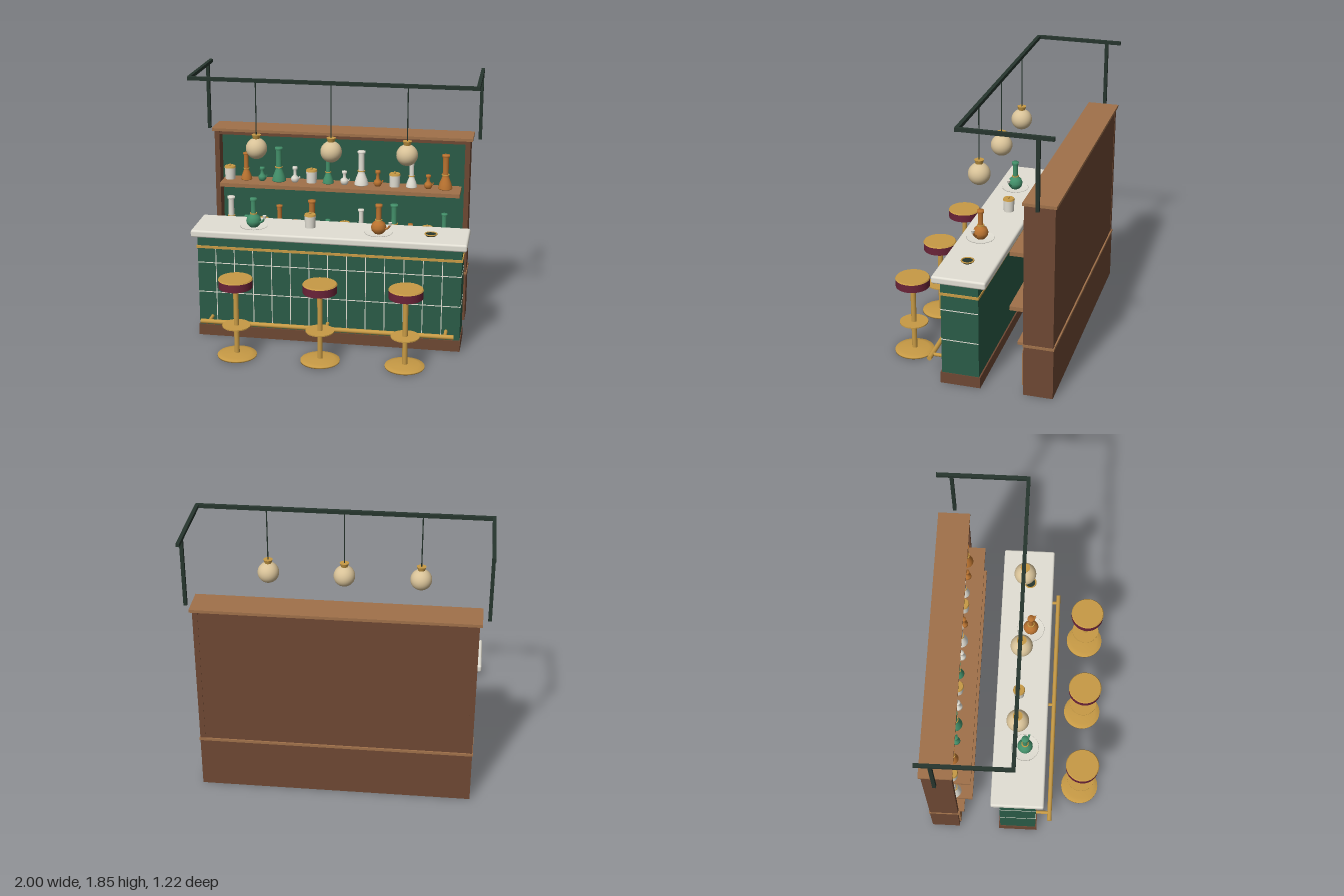
import * as THREE from 'three';
import { RoundedBoxGeometry } from 'three/addons/geometries/RoundedBoxGeometry.js';

const mat = (name, color, extra = {}) => {
  const m = new THREE.MeshStandardMaterial({ color, ...extra });
  m.name = name;
  return m;
};

export function createModel() {
  const root = new THREE.Group();
  root.name = 'barCounterSet';
  const M = {
    tile: mat('green tile', 0x2a5c47),
    frame: mat('dark iron', 0x26352d),
    wood: mat('dark wood', 0x6e4833),
    oak: mat('light wood', 0xa0714a),
    marble: mat('marble', 0xe2dfd4),
    brass: mat('brass', 0xc79a45),
    leather: mat('burgundy leather', 0x6a2338),
    green: mat('green glass', 0x43906a),
    amber: mat('amber glass', 0xba7330),
    globe: mat('lamp globe', 0xd8c298),
  };

  const add = (parent, name, geo, material, x = 0, y = 0, z = 0) => {
    const mesh = new THREE.Mesh(geo, material);
    mesh.name = name;
    mesh.position.set(x, y, z);
    parent.add(mesh);
    return mesh;
  };
  const group = (name, x = 0, y = 0, z = 0, parent = root) => {
    const g = new THREE.Group();
    g.name = name;
    g.position.set(x, y, z);
    parent.add(g);
    return g;
  };
  // Box given by its minimum and maximum corners
  const box = (parent, name, m, x0, x1, y0, y1, z0, z1) =>
    add(parent, name, new THREE.BoxGeometry(x1 - x0, y1 - y0, z1 - z0), m,
      (x0 + x1) / 2, (y0 + y1) / 2, (z0 + z1) / 2);
  // Upright cylinder standing on y
  const cyl = (parent, name, m, r0, r1, h, x, y, z, seg = 24) =>
    add(parent, name, new THREE.CylinderGeometry(r1, r0, h, seg), m, x, y + h / 2, z);
  const lathe = (pts, seg = 24) =>
    new THREE.LatheGeometry(pts.map(([r, y]) => new THREE.Vector2(r, y)), seg);
  const tube = (pts, r, n = 12) =>
    new THREE.TubeGeometry(new THREE.CatmullRomCurve3(pts.map(p => new THREE.Vector3(...p))), n, r, 8);

  // Front counter
  const counter = group('counter');
  box(counter, 'plinth', M.wood, -0.93, 0.93, 0, 0.08, -0.11, 0.165);
  box(counter, 'tiledBody', M.tile, -0.925, 0.925, 0.08, 0.755, -0.1, 0.155);
  box(counter, 'brassTrim', M.brass, -0.932, 0.932, 0.657, 0.675, -0.105, 0.162);
  add(counter, 'marbleTop', new RoundedBoxGeometry(1.92, 0.052, 0.365, 3, 0.014), M.marble, 0, 0.774, 0.025);
  for (const y of [0.33, 0.55])
    box(counter, 'groutLine', M.marble, -0.927, 0.927, y - 0.003, y + 0.003, -0.099, 0.157);
  for (let i = -6; i <= 6; i++)
    box(counter, 'groutLine', M.marble, i * 0.1325 - 0.003, i * 0.1325 + 0.003, 0.11, 0.657, 0.15, 0.157);

  // Foot rail
  const rail = group('footRail');
  add(rail, 'rail', new THREE.CylinderGeometry(0.016, 0.016, 1.78, 16), M.brass, 0, 0.145, 0.255).rotation.z = Math.PI / 2;
  for (const x of [-0.83, 0, 0.83])
    add(rail, 'bracket', new THREE.CylinderGeometry(0.012, 0.012, 0.11, 12), M.brass, x, 0.145, 0.205).rotation.x = Math.PI / 2;

  // Stools
  for (const x of [-0.58, 0, 0.58]) {
    const s = group('stool', x, 0, 0.47);
    add(s, 'base', lathe([[0, 0.003], [0.135, 0.003], [0.135, 0.013], [0.1, 0.02], [0.025, 0.025], [0, 0.025]], 32), M.brass);
    cyl(s, 'post', M.brass, 0.018, 0.018, 0.49, 0, 0.02, 0, 16);
    cyl(s, 'footPlate', M.brass, 0.098, 0.098, 0.008, 0, 0.221, 0, 32);
    cyl(s, 'seat', M.leather, 0.116, 0.116, 0.057, 0, 0.506, 0, 32);
    cyl(s, 'seatCap', M.brass, 0.118, 0.112, 0.008, 0, 0.562, 0, 32);
  }

  // Back bar cabinet
  const back = group('backBar');
  box(back, 'cabinet', M.wood, -0.925, 0.925, 0, 0.36, -0.6, -0.4);
  box(back, 'cabinetLedge', M.oak, -0.905, 0.905, 0.36, 0.38, -0.5, -0.355);
  box(back, 'ledgeTrim', M.oak, -0.93, 0.93, 0.36, 0.378, -0.605, -0.395);
  for (let i = 0; i < 6; i++) {
    const x = -0.7625 + i * 0.305;
    box(back, 'door', M.oak, x - 0.142, x + 0.142, 0.06, 0.32, -0.4, -0.388);
    add(back, 'knob', new THREE.SphereGeometry(0.012, 12, 8), M.brass, x, 0.2, -0.378);
  }
  for (const s of [-1, 1]) {
    const post = box(back, 'sidePost', M.wood, 0.89, 0.925, 0.378, 1.36, -0.598, -0.397);
    post.position.x *= s;
  }
  box(back, 'backPanel', M.wood, -0.89, 0.89, 0.378, 1.36, -0.595, -0.5);
  box(back, 'greenPanel', M.tile, -0.89, 0.89, 0.38, 1.34, -0.5, -0.49);
  box(back, 'topRail', M.wood, -0.89, 0.89, 1.335, 1.36, -0.5, -0.4);
  box(back, 'topBoard', M.oak, -0.943, 0.943, 1.36, 1.38, -0.61, -0.39);
  for (const y of [0.61, 1.0])
    box(back, 'shelf', M.oak, -0.868, 0.868, y - 0.028, y, -0.49, -0.29);

  // Jar with a brass lid
  const jar = (parent, x, y, z) => {
    const j = group('jar', x, y, z, parent);
    cyl(j, 'jarBody', M.marble, 0.036, 0.04, 0.085, 0, 0, 0);
    cyl(j, 'jarLid', M.brass, 0.042, 0.038, 0.012, 0, 0.085, 0);
    add(j, 'lidKnob', new THREE.SphereGeometry(0.009, 10, 8), M.brass, 0, 0.103, 0);
  };
  // Long-necked bottle with collar and rim
  const bottle = (parent, x, y, z, h, m) => {
    const b = group('bottle', x, y, z, parent);
    const r = 0.2 * h;
    add(b, 'flask', lathe([[0, 0], [r, 0], [r * 1.02, 0.02 * h], [r * 0.85, 0.16 * h], [r * 0.5, 0.34 * h],
      [r * 0.42, 0.4 * h], [r * 0.42, 0.93 * h], [r * 0.56, 0.94 * h], [r * 0.56, h], [0, h]]), m);
    cyl(b, 'collar', M.brass, r * 0.56, r * 0.56, 0.025 * h, 0, 0.4 * h, 0, 16);
  };
  // Small round jug with a spout
  const jug = (parent, x, y, z, h, m) => {
    const j = group('jug', x, y, z, parent);
    add(j, 'jugBody', lathe([[0, 0], [0.02, 0], [0.03, 0.018], [0.027, 0.036], [0.012, 0.052],
      [0.011, h * 0.8], [0.019, h * 0.84], [0.017, h], [0, h]]), m);
    add(j, 'jugSpout', tube([[0.02, 0.025, 0], [0.034, 0.033, 0.004], [0.038, 0.048, 0.006]], 0.005), m);
  };
  const stock = (parent, y, kinds, colours) => {
    [...colours].forEach((c, i) => {
      const x = -0.82 + i * 0.1212, m = { w: M.marble, a: M.amber, g: M.green }[c];
      const h = kinds[i % kinds.length];
      if (h === 0) jar(parent, x, y, -0.415);
      else if (h < 0.15) jug(parent, x, y, -0.405, h, m);
      else bottle(parent, x, y, -0.42, h, m);
    });
  };
  stock(group('upperBottles'), 1.0, [0, 0.2, 0.1, 0.25, 0.115], 'waggwwgwwawwaa');
  stock(group('lowerBottles'), 0.61, [0.25, 0.115, 0, 0.2, 0.1], 'wgwaaagwwggagg');

  // Spouted pots on saucers
  for (const [x, m] of [[-0.54, M.green], [0.34, M.amber]]) {
    const p = group('servingPot', x, 0.8, 0.06);
    add(p, 'saucer', lathe([[0, 0], [0.07, 0], [0.097, 0.008], [0.094, 0.011], [0.068, 0.005], [0, 0.005]], 32), M.marble);
    add(p, 'potBody', lathe([[0, 0.005], [0.03, 0.005], [0.048, 0.025], [0.053, 0.05], [0.043, 0.078], [0.022, 0.094],
      [0.018, 0.1], [0.018, 0.19], [0.024, 0.194], [0.024, 0.212], [0, 0.212]]), m);
    cyl(p, 'potCollar', M.brass, 0.025, 0.025, 0.007, 0, 0.097, 0, 16);
    add(p, 'potSpout', tube([[0.04, 0.04, 0.014], [0.065, 0.05, 0.022], [0.082, 0.075, 0.029]], 0.007), m);
    cyl(p, 'spoutCup', M.marble, 0.008, 0.014, 0.022, 0.083, 0.074, 0.029, 12);
  }
  // Counter jar and small dish
  jar(root, -0.15, 0.8, 0);
  const dish = group('dish', 0.7, 0.8, 0.04);
  cyl(dish, 'dishBase', M.frame, 0.035, 0.045, 0.012, 0, 0, 0);
  add(dish, 'dishRim', new THREE.TorusGeometry(0.04, 0.005, 8, 24), M.brass, 0, 0.012, 0).rotation.x = Math.PI / 2;

  // Overhead frame
  const over = group('overheadFrame');
  box(over, 'frontBeam', M.frame, -0.998, 0.998, 1.82, 1.845, -0.005, 0.02);
  for (const s of [-1, 1]) {
    box(over, 'sideArm', M.frame, s * 0.987 - 0.012, s * 0.987 + 0.012, 1.822, 1.846, -0.6, -0.005);
    box(over, 'framePost', M.frame, s * 0.987 - 0.0115, s * 0.987 + 0.0115, 1.355, 1.825, -0.512, -0.488);
  }

  // Pendant lamps
  for (const x of [-0.522, 0, 0.522]) {
    const l = group('pendantLamp', x, 0, 0.01);
    cyl(l, 'cord', M.frame, 0.004, 0.004, 0.38, 0, 1.45, 0, 8);
    cyl(l, 'cap', M.brass, 0.022, 0.032, 0.03, 0, 1.425, 0);
    add(l, 'globe', new THREE.SphereGeometry(0.074, 32, 20), M.globe, 0, 1.357, 0);
  }
  return root;
}
